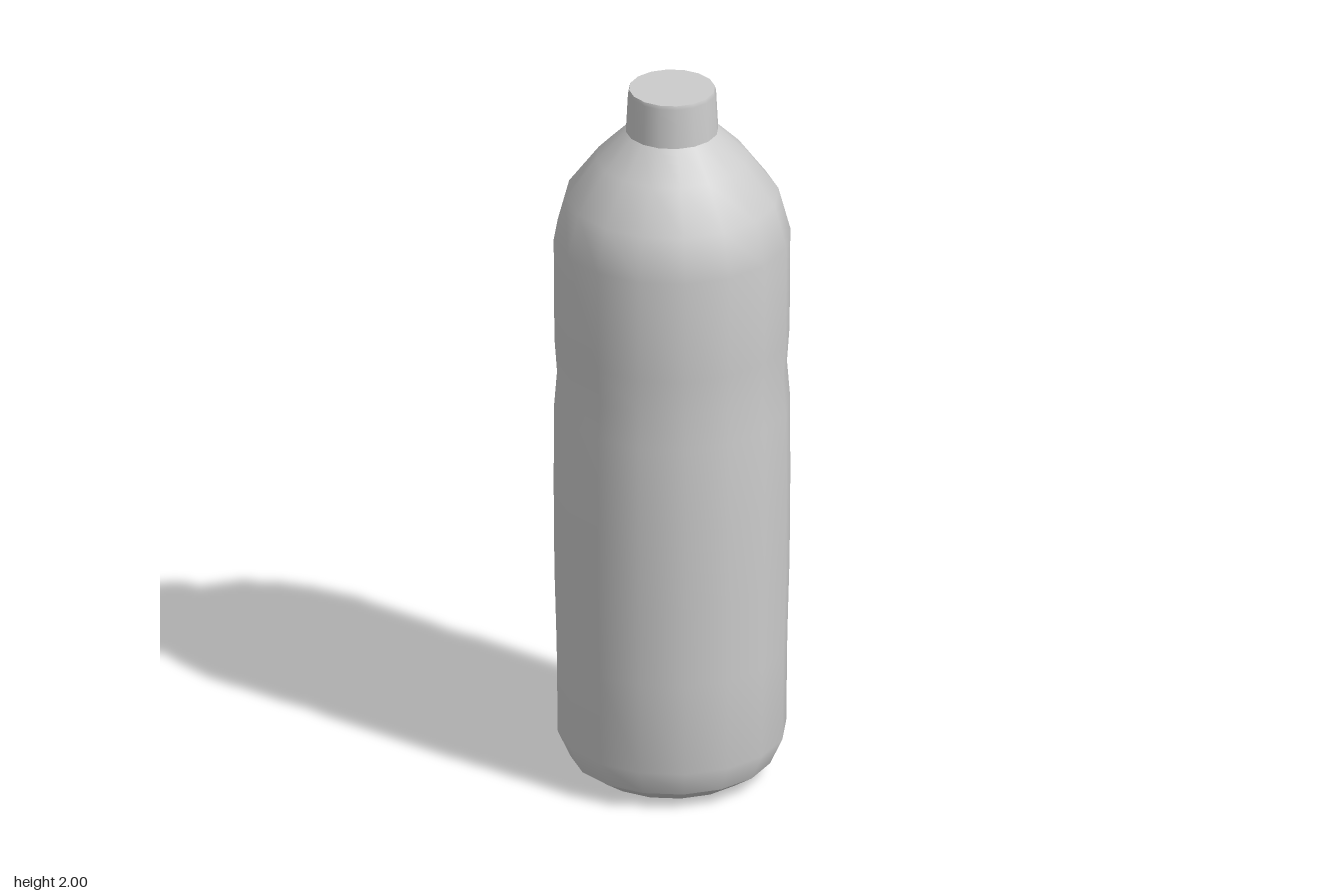
import * as THREE from 'three';

const SIDES = 16;
const TURN = THREE.MathUtils.degToRad(5.5);

// Revolve [radius, height] pairs, listed from bottom to top
function revolve(name, profile, material) {
  const points = profile.map(([r, y]) => new THREE.Vector2(r, y));
  const mesh = new THREE.Mesh(new THREE.LatheGeometry(points, SIDES, TURN), material);
  mesh.name = name;
  return mesh;
}

export function createModel() {
  const group = new THREE.Group();
  group.name = 'bottle';
  const grey = new THREE.MeshStandardMaterial({ color: 0xcccccc });
  grey.name = 'light grey';

  // Underside, creased where it meets the wall
  group.add(revolve('base', [[0, 0], [0.21, 0.004], [0.272, 0.045]], grey));

  // Wall with a shallow grip waist and a rounded shoulder
  group.add(revolve('body', [
    [0.272, 0.045], [0.306, 0.12], [0.309, 0.38], [0.315, 0.6], [0.317, 0.85],
    [0.316, 1.08], [0.308, 1.18], [0.315, 1.28], [0.317, 1.57],
    [0.285, 1.69], [0.203, 1.8], [0.122, 1.88],
  ], grey));

  // Slightly tapered cap with a flat lid
  group.add(revolve('capSide', [[0.124, 1.875], [0.118, 1.99], [0.115, 2]], grey));
  const lid = new THREE.Mesh(new THREE.CircleGeometry(0.115, SIDES, TURN - Math.PI / 2), grey);
  lid.name = 'capLid';
  lid.rotation.x = -Math.PI / 2;
  lid.position.y = 2;
  group.add(lid);

  return group;
}
